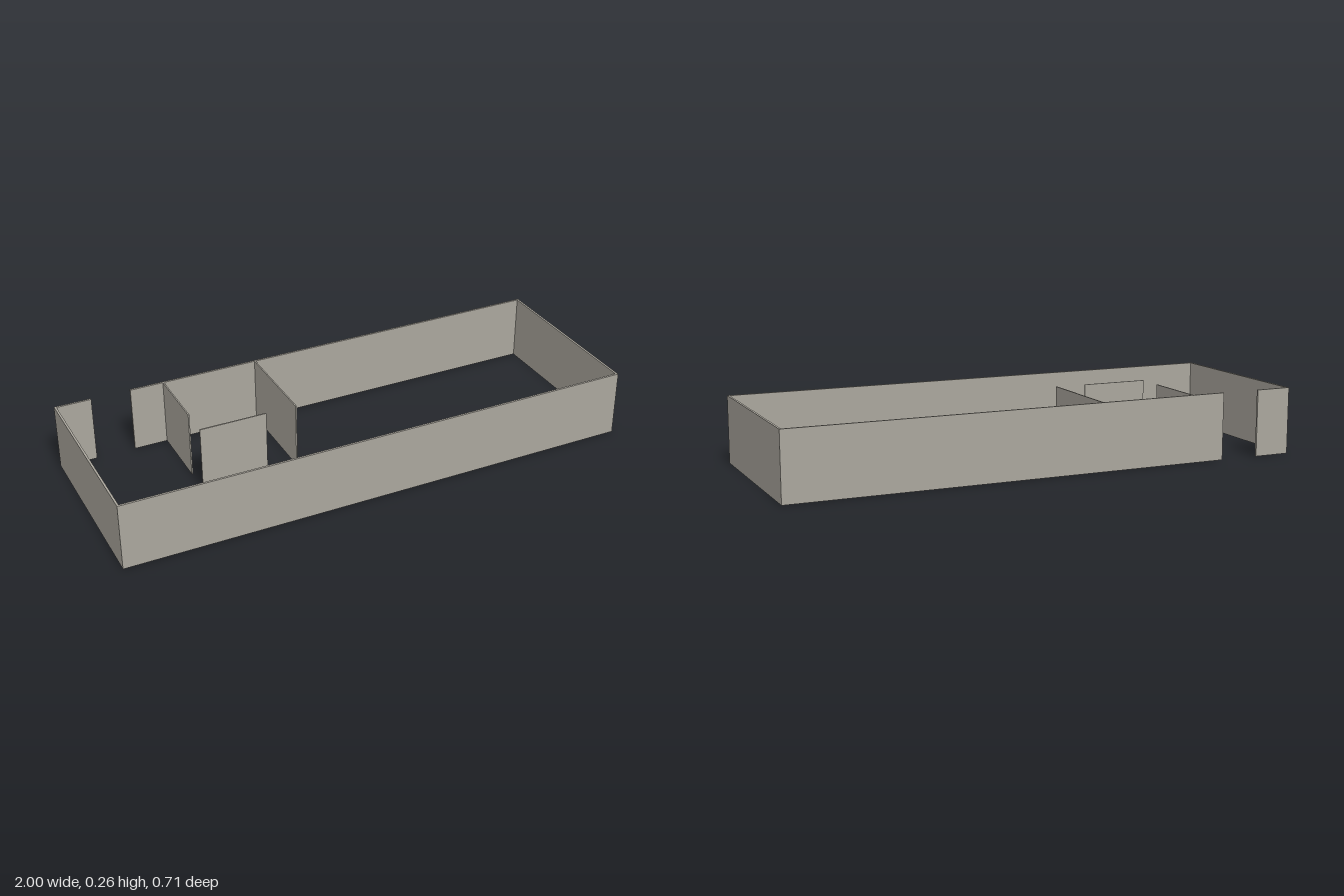
import * as THREE from 'three';

const HEIGHT = 0.257;
const OUTER = 0.008; // outer wall thickness
const INNER = 0.005; // partition thickness
const X = 1, Z = 0.357; // half extents of the plan

export function createModel() {
  const group = new THREE.Group();
  group.name = 'floorPlanWalls';
  const plaster = new THREE.MeshStandardMaterial({ color: 0xaaa69d });
  plaster.name = 'warm grey plaster';

  // Upright wall covering a rectangle of the plan
  function wall(name, x0, x1, z0, z1) {
    const mesh = new THREE.Mesh(new THREE.BoxGeometry(x1 - x0, HEIGHT, z1 - z0), plaster);
    mesh.position.set((x0 + x1) / 2, HEIGHT / 2, (z0 + z1) / 2);
    mesh.name = name;
    group.add(mesh);
  }

  // Outer shell, with a doorway in the back wall
  const back = -Z + OUTER;
  wall('frontWall', -X, X, Z - OUTER, Z);
  wall('rightWall', -X, -X + OUTER, back, Z - OUTER);
  wall('leftWall', X - OUTER, X, back, Z - OUTER);
  wall('backWallShort', -X, -0.86, -Z, back);
  wall('backWallLong', -0.708, X, -Z, back);

  // Small room against the back wall
  wall('roomRightPartition', -0.579, -0.579 + INNER, back, -0.086);
  wall('roomFrontPartition', -0.579, -0.32, 0.025, 0.025 + INNER);
  wall('roomLeftPartition', -0.203, -0.203 + INNER, back, 0.03);

  return group;
}
